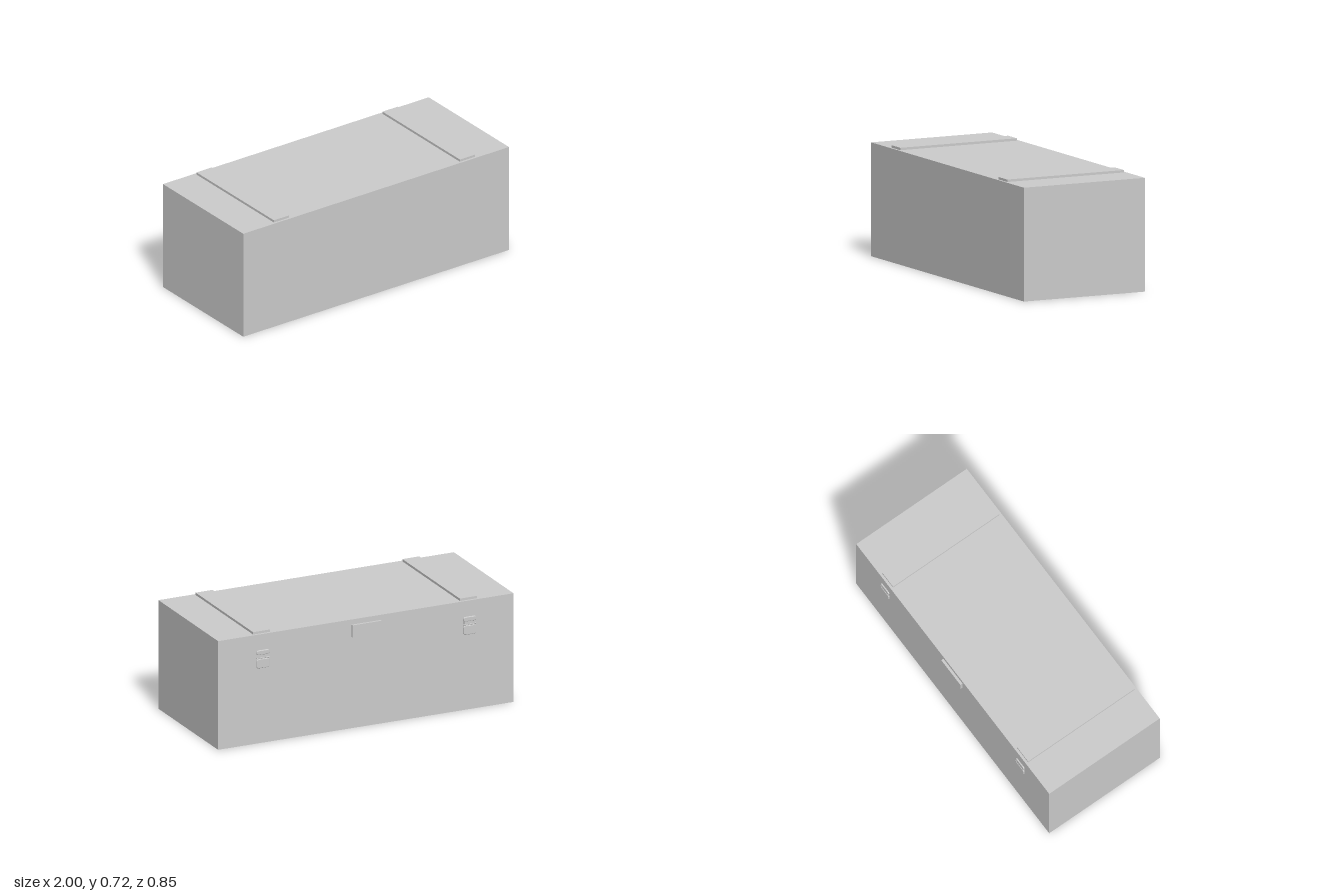
import * as THREE from 'three';

const material = new THREE.MeshStandardMaterial({ color: 0xcccccc });
const BACK = -0.408;   // back wall of the crate
const TOP = 0.702;

// Box given by its lower and upper corners
function box(name, [x0, y0, z0], [x1, y1, z1]) {
  const mesh = new THREE.Mesh(new THREE.BoxGeometry(x1 - x0, y1 - y0, z1 - z0), material);
  mesh.name = name;
  mesh.position.set((x0 + x1) / 2, (y0 + y1) / 2, (z0 + z1) / 2);
  return mesh;
}

// Rounded plate on the back wall, between two heights, standing out by depth
function plate(name, width, y0, y1, radius, depth, bevel = 0) {
  const w = width / 2 - bevel, h = (y1 - y0) / 2 - bevel, r = radius;
  const s = new THREE.Shape();
  s.moveTo(-w + r, -h);
  s.lineTo(w - r, -h);
  s.absarc(w - r, -h + r, r, -Math.PI / 2, 0);
  s.absarc(w - r, h - r, r, 0, Math.PI / 2);
  s.absarc(-w + r, h - r, r, Math.PI / 2, Math.PI);
  s.absarc(-w + r, -h + r, r, Math.PI, Math.PI * 1.5);
  const geometry = new THREE.ExtrudeGeometry(s, {
    depth: depth - bevel, curveSegments: 5, bevelEnabled: bevel > 0,
    bevelSize: bevel, bevelThickness: bevel, bevelSegments: 3,
  });
  const mesh = new THREE.Mesh(geometry, material);
  mesh.name = name;
  mesh.rotation.y = Math.PI;
  mesh.position.set(0, (y0 + y1) / 2, BACK);
  return mesh;
}

// Toggle latch: backing plate, upper catch, hinge bar and lower lever
function latch(x) {
  const group = new THREE.Group();
  group.name = 'latch';
  group.add(plate('latchPlate', 0.08, 0.487, 0.598, 0.012, 0.003));
  group.add(plate('latchCatch', 0.086, 0.571, 0.6, 0.008, 0.008, 0.004));
  group.add(plate('latchLink', 0.07, 0.54, 0.575, 0.003, 0.0055));
  group.add(plate('latchLever', 0.086, 0.485, 0.545, 0.01, 0.008, 0.004));
  const bar = new THREE.Mesh(new THREE.CylinderGeometry(0.004, 0.004, 0.084, 10), material);
  bar.name = 'latchHinge';
  bar.rotation.z = Math.PI / 2;
  bar.position.set(0, 0.55, BACK - 0.003);
  group.add(bar);
  group.position.x = x;
  return group;
}

export function createModel() {
  const model = new THREE.Group();
  model.name = 'crate';
  model.add(box('body', [-1, 0, BACK], [1, TOP, 0.424]));

  // Battens across the lid with a latch behind each one
  for (const x of [-0.702, 0.698]) {
    model.add(box('lidBatten', [x - 0.0575, TOP - 0.005, -0.392], [x + 0.0575, 0.717, 0.41]));
    model.add(latch(x));
  }

  // Grip block in the middle of the back wall
  model.add(box('grip', [-0.1, 0.59, -0.424], [0.097, 0.669, BACK + 0.005]));
  return model;
}
